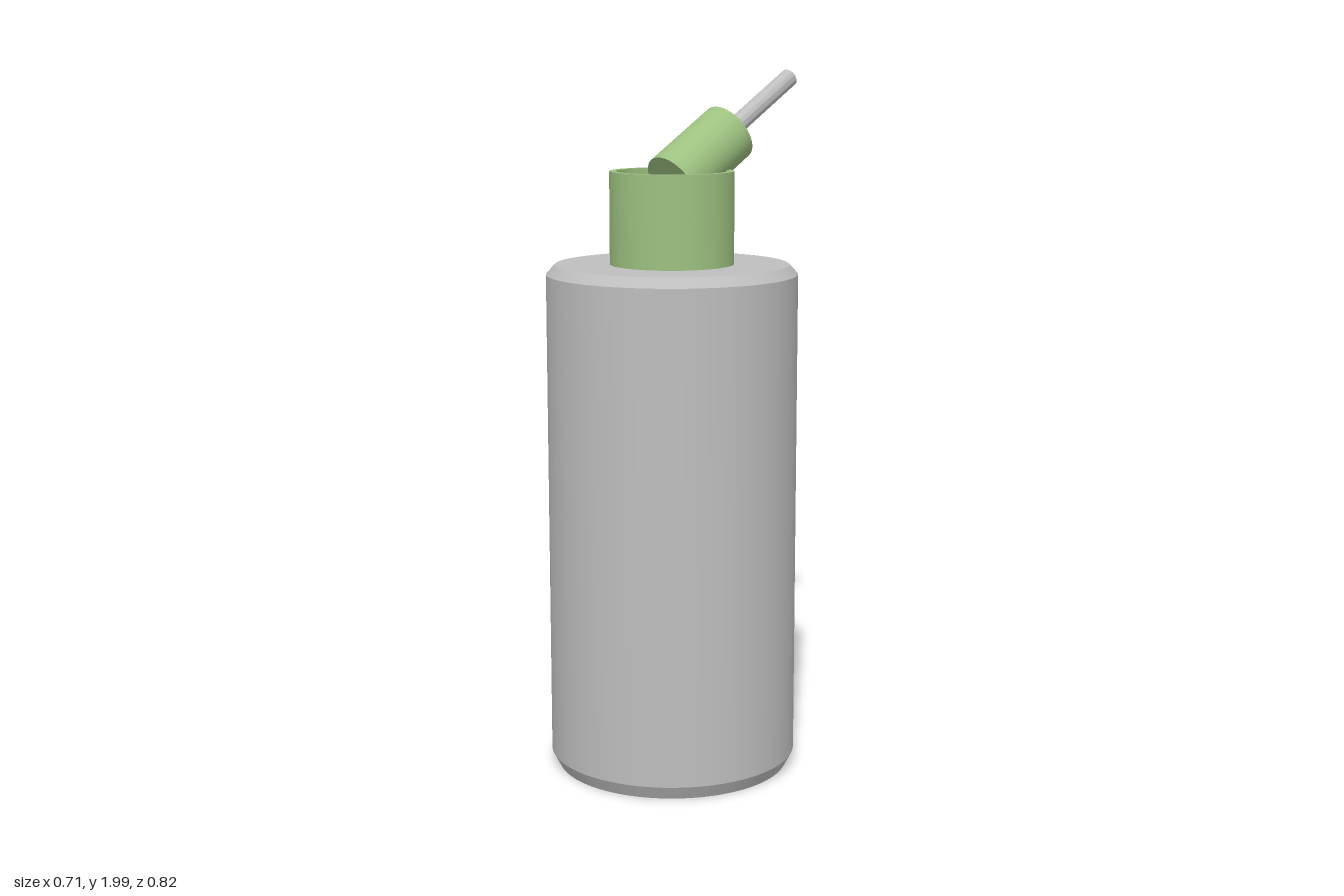
import * as THREE from 'three';
import { toCreasedNormals } from 'three/addons/utils/BufferGeometryUtils.js';

const AXIS_Z = 0.058;  // the bottle's axis sits in front of the centre
const TILT = 0.565;    // rise of the spout above horizontal

const grey = new THREE.MeshStandardMaterial({ color: 0xbebebe });
grey.name = 'grey metal';
const green = new THREE.MeshStandardMaterial({ color: 0x9dc180 });
green.name = 'green plastic';

// Turned part from [radius, height] pairs, listed from the bottom axis to the top axis
function turned(name, profile, material, segments = 64) {
  const points = profile.map(([r, y]) => new THREE.Vector2(r, y));
  const geometry = toCreasedNormals(new THREE.LatheGeometry(points, segments), 0.4);
  const mesh = new THREE.Mesh(geometry, material);
  mesh.name = name;
  return mesh;
}

export function createModel() {
  const model = new THREE.Group();
  model.name = 'bottle';

  // Bevelled body with a dished base
  const body = turned('body', [
    [0, 0.03], [0.277, 0.03], [0.303, 0], [0.334, 0], [0.355, 0.04],
    [0.355, 1.433], [0.33, 1.46], [0, 1.46],
  ], grey);
  body.position.z = AXIS_Z;

  // Cap with a shallow recess inside its rim
  const cap = turned('cap', [
    [0, 1.455], [0.175, 1.455], [0.175, 1.72], [0.155, 1.72], [0.155, 1.7], [0, 1.7],
  ], green);
  cap.position.z = AXIS_Z;

  // Tilted spout and the thin tube that leaves its end
  const nozzle = new THREE.Group();
  nozzle.name = 'nozzle';
  nozzle.position.set(0, 1.685, AXIS_Z);
  nozzle.rotation.x = TILT - Math.PI / 2;
  nozzle.add(
    turned('spout', [[0, 0], [0.0875, 0], [0.0875, 0.252], [0, 0.252]], green, 48),
    turned('thinTube', [
      [0, 0.24], [0.0265, 0.24], [0.0265, 0.537], [0.02, 0.543], [0, 0.543],
    ], grey, 32),
  );

  model.add(body, cap, nozzle);
  return model;
}
